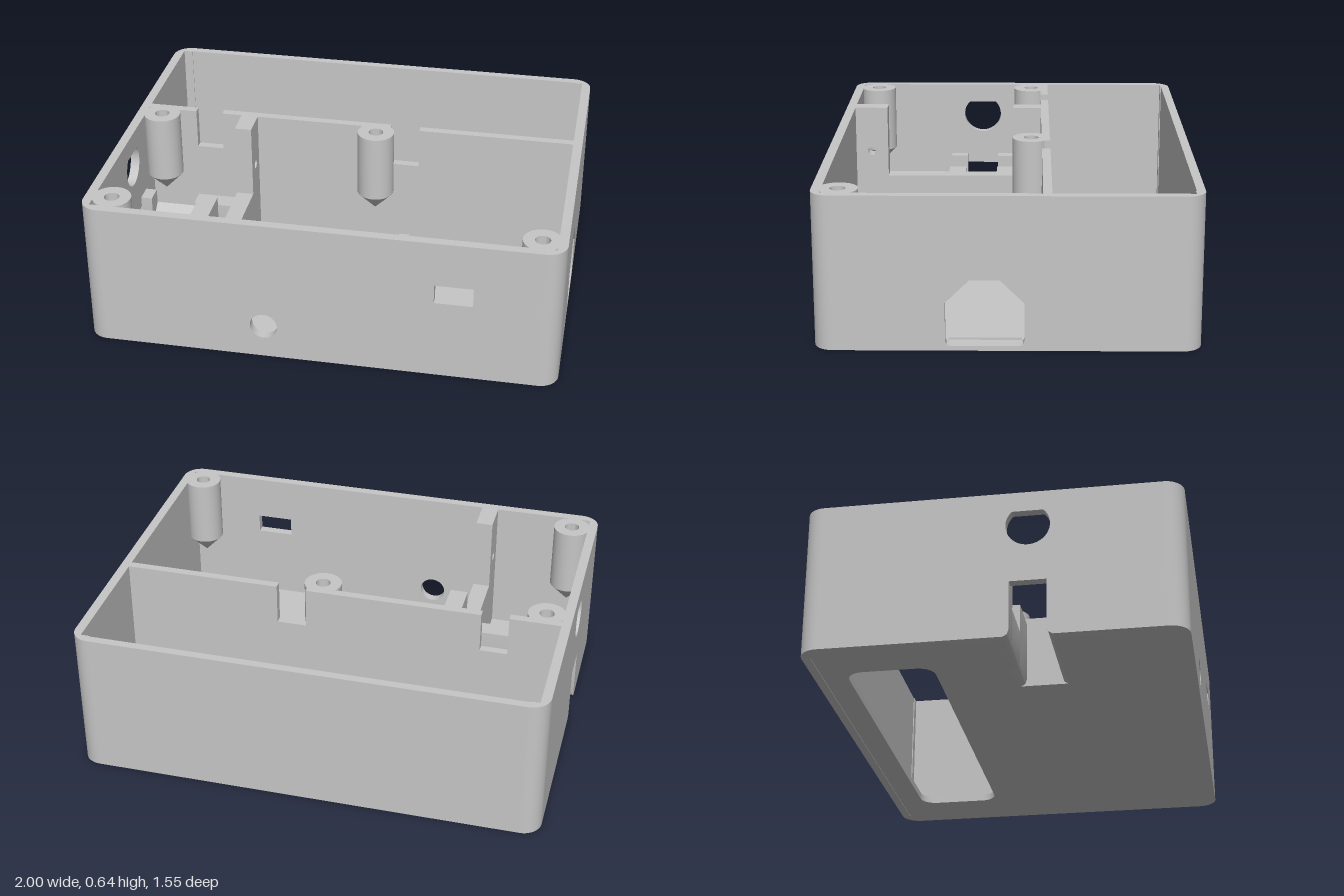
import * as THREE from 'three';
import { toCreasedNormals } from 'three/addons/utils/BufferGeometryUtils.js';

const H = 0.64, FLOOR = 0.03;
const plastic = new THREE.MeshStandardMaterial({ color: 0xc6c6c6 });
plastic.name = 'greyPlastic';

const pts = (list) => list.map(([x, y]) => new THREE.Vector2(x, y));
const outline = (list) => new THREE.Shape(pts(list));
const path = (list) => new THREE.Path(pts(list));
const rect = (x0, y0, x1, y1) => [[x0, y0], [x1, y0], [x1, y1], [x0, y1]];

function circle(x, y, r) {
  const p = new THREE.Path();
  p.absarc(x, y, r, 0, Math.PI * 2);
  return p;
}

function roundedRect(x0, y0, x1, y1, r) {
  const p = new THREE.Path(), q = Math.PI / 2;
  p.absarc(x1 - r, y1 - r, r, 0, q);
  p.absarc(x0 + r, y1 - r, r, q, 2 * q);
  p.absarc(x0 + r, y0 + r, r, 2 * q, 3 * q);
  p.absarc(x1 - r, y0 + r, r, 3 * q, 4 * q);
  p.closePath();
  return p;
}

function extrude(shape, depth, holes = []) {
  shape.holes.push(...holes);
  const g = new THREE.ExtrudeGeometry(shape, { depth, bevelEnabled: false, curveSegments: 16 });
  return toCreasedNormals(g, 0.6);
}

// Slabs drawn as (x, y), (z, y) or (x, z) and placed by their two limits
const alongZ = (s, z0, z1, holes) => extrude(s, z1 - z0, holes).translate(0, 0, z0);
const alongX = (s, x0, x1, holes) => extrude(s, x1 - x0, holes).rotateY(-Math.PI / 2).translate(x1, 0, 0);
const alongY = (s, y0, y1, holes) => extrude(s, y1 - y0, holes).rotateX(Math.PI / 2).translate(0, y1, 0);

export function createModel() {
  const model = new THREE.Group();
  model.name = 'enclosure';
  const add = (name, geometry, parent = model) => {
    const m = new THREE.Mesh(geometry, plastic);
    m.name = name;
    parent.add(m);
    return m;
  };

  // Floor with display window, socket slot and a shallow step at the right opening
  add('floor', alongY(outline([
    [-0.96, -0.735], [0.96, -0.735], [0.96, -0.057], [0.932, -0.057], [0.932, 0.237], [0.96, 0.237],
    [0.96, 0.735], [-0.96, 0.735], [-0.96, 0.245], [-0.53, 0.245], [-0.53, 0.05], [-0.96, 0.05],
  ]), 0, FLOOR, [roundedRect(-0.765, -0.634, 0.76, -0.273, 0.07)]));
  add('openingStep', alongY(outline(rect(0.932, -0.057, 0.96, 0.237)), 0, 0.02));

  // Outer walls
  add('frontWall', alongZ(outline(rect(-0.92, 0, 0.92, H)), 0.733, 0.773,
    [circle(-0.23, 0.15, 0.058), path(rect(0.481, 0.357, 0.641, 0.441))]));
  add('backWall', alongZ(outline(rect(-0.92, 0, 0.92, H)), -0.773, -0.737));
  add('rightWall', alongX(outline(rect(-0.693, 0, 0.693, H)), 0.96, 1, [path([
    [-0.046, 0.02], [0.228, 0.02], [0.242, 0.026], [0.248, 0.04], [0.248, 0.2],
    [0.091, 0.355], [-0.066, 0.2], [-0.066, 0.04], [-0.06, 0.026],
  ])]));

  // Left wall with a teardrop hole above the socket slot
  const teardrop = new THREE.Path();
  teardrop.moveTo(0.148, 0.617);
  teardrop.absarc(0.148, 0.49, 0.09, Math.PI * 0.75, Math.PI * 2.25);
  teardrop.closePath();
  add('leftWall', alongX(outline([
    [-0.693, 0], [0.05, 0], [0.067, 0.01], [0.073, 0.03], [0.073, 0.24], [0.223, 0.24], [0.223, 0.03],
    [0.229, 0.01], [0.245, 0], [0.693, 0], [0.693, H], [-0.693, H],
  ]), -1, -0.96, [teardrop]));

  // Rounded outside, square inside at the four corners
  for (const sx of [-1, 1]) for (const sz of [-1, 1]) {
    const list = [[0.92, 0.733], [0.96, 0.733], [0.96, 0.693]];
    for (let i = 0; i <= 10; i++) {
      const a = i / 10 * Math.PI / 2;
      list.push([0.92 + 0.08 * Math.cos(a), 0.693 + 0.08 * Math.sin(a)]);
    }
    add('cornerWall', alongY(outline(list.map(([x, z]) => [sx * x, sz * z])), 0, H));
  }

  // Cross wall with two cable notches
  add('crossWall', alongZ(outline([
    [-0.96, FLOOR], [0.96, FLOOR], [0.96, H], [0.28, H], [0.28, 0.46], [0.15, 0.46], [0.15, H],
    [-0.62, H], [-0.62, 0.46], [-0.74, 0.46], [-0.74, H], [-0.96, H],
  ]), -0.174, -0.138));

  // Partition: low in the middle, with a pierced post at each end
  add('partition', alongX(outline([
    [-0.138, FLOOR], [0.733, FLOOR], [0.733, H], [0.583, H], [0.583, 0.31], [-0.01, 0.31], [-0.01, H], [-0.138, H],
  ]), -0.53, -0.455, [circle(-0.075, 0.43, 0.02), circle(0.658, 0.43, 0.02)]));

  // Low rib on the floor
  add('floorRib', alongX(outline(rect(-0.128, FLOOR, 0.303, 0.1)), 0.2, 0.25));

  // Socket holder: two cheeks beside the slot, each relieved in the middle
  const holder = new THREE.Group();
  holder.name = 'socketHolder';
  model.add(holder);
  const backFoot = [[-0.008, 0], [0.05, 0], [0.067, 0.01], [0.073, 0.03]];
  const frontFoot = [[0.223, 0.03], [0.229, 0.01], [0.245, 0], [0.303, 0]];
  for (const [x0, x1] of [[-0.96, -0.91], [-0.71, -0.53]]) {
    add('backCheek', alongX(outline([...backFoot, [0.073, 0.285], [-0.008, 0.285]]), x0, x1), holder);
    add('frontCheek', alongX(outline([...frontFoot, [0.303, 0.285], [0.223, 0.285]]), x0, x1), holder);
  }
  add('backCheekSlope', alongX(outline([...backFoot, [0.073, 0.16], [-0.008, 0.22]]), -0.91, -0.71), holder);
  add('frontCheekLedge', alongX(outline([...frontFoot, [0.303, 0.1], [0.223, 0.1]]), -0.91, -0.71), holder);

  // Screw pillars with a blind bore and a conical foot
  const pillar = toCreasedNormals(new THREE.LatheGeometry(pts([
    [0, 0.255], [0.081, 0.34], [0.081, H], [0.032, H], [0.032, 0.4], [0, 0.4],
  ]), 40), 0.6);
  for (const [x, z] of [[-0.887, 0.658], [0.897, 0.668], [-0.887, -0.092], [0.093, -0.092]]) {
    add('screwPillar', pillar).position.set(x, 0, z);
  }
  return model;
}
